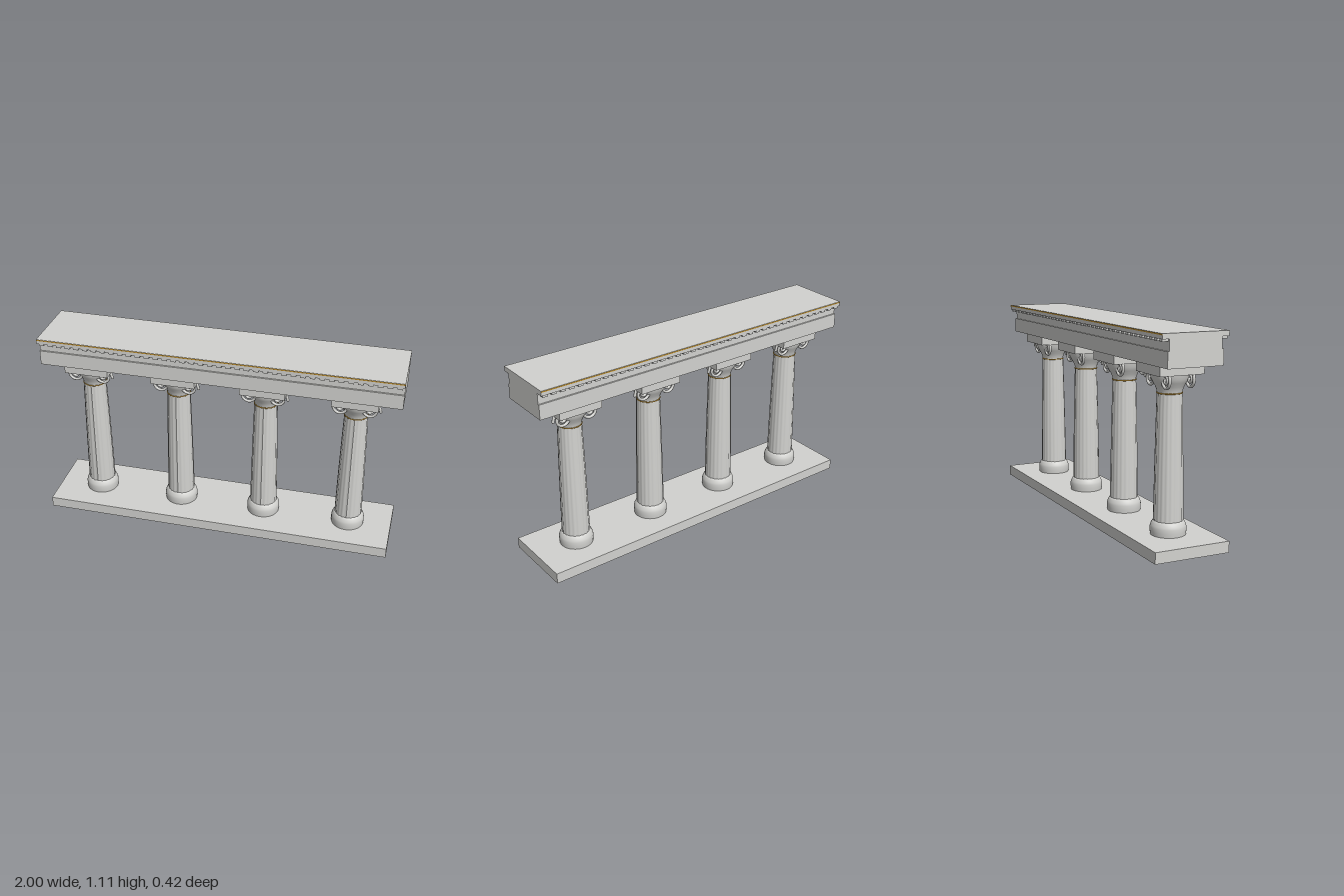
import * as THREE from 'three';

const stone = new THREE.MeshStandardMaterial({ color: 0xd2d2cf });
stone.name = 'pale stone';
const gold = new THREE.MeshStandardMaterial({ color: 0xc0912f });
gold.name = 'gold trim';

function part(name, geometry, material, x = 0, y = 0, z = 0) {
  const mesh = new THREE.Mesh(geometry, material);
  mesh.name = name;
  mesh.position.set(x, y, z);
  return mesh;
}

// Full-length slab between two heights
function slab(name, y0, y1, halfDepth) {
  return part(name, new THREE.BoxGeometry(2, y1 - y0, halfDepth * 2), stone, 0, (y0 + y1) / 2, 0);
}

function lathe(points, segments = 40) {
  return new THREE.LatheGeometry(points.map(([r, y]) => new THREE.Vector2(r, y)), segments);
}

// Tapered shaft with scalloped flutes pressed into a cylinder
function shaftGeometry() {
  const y0 = 0.1, y1 = 0.8, flutes = 20;
  const g = new THREE.CylinderGeometry(1, 1, y1 - y0, flutes * 4, 8, true);
  g.translate(0, (y0 + y1) / 2, 0);
  const p = g.attributes.position;
  for (let i = 0; i < p.count; i++) {
    const t = (p.getY(i) - y0) / (y1 - y0);
    const a = Math.atan2(p.getZ(i), p.getX(i));
    const flute = Math.abs(Math.sin(a * flutes / 2));
    const r = (0.078 - 0.013 * Math.pow(t, 1.4)) * (1 - 0.035 * flute);
    p.setXYZ(i, r * Math.cos(a), p.getY(i), r * Math.sin(a));
  }
  g.computeVertexNormals();
  return g;
}

// Scroll that winds inward over two turns
function voluteGeometry() {
  const points = [];
  for (let i = 0; i <= 32; i++) {
    const t = i / 32, a = t * Math.PI * 4, r = 0.053 * (1 - t * 0.85);
    points.push(new THREE.Vector3(r * Math.cos(a), r * Math.sin(a), 0));
  }
  return new THREE.TubeGeometry(new THREE.CatmullRomCurve3(points), 64, 0.008, 8);
}

export function createModel() {
  const model = new THREE.Group();
  model.name = 'colonnade';

  // Floor and entablature
  model.add(
    slab('stylobate', 0, 0.06, 0.21),
    slab('architrave', 0.945, 1.028, 0.154),
    slab('frieze', 1.028, 1.087, 0.145),
    slab('cornice', 1.087, 1.114, 0.184)
  );

  // Gold lines and dentil rows on both long faces
  const dentil = new THREE.BoxGeometry(0.028, 0.013, 0.035);
  const line = new THREE.BoxGeometry(2, 0.006, 0.003);
  for (const side of [1, -1]) {
    model.add(part('corniceGoldLine', line, gold, 0, 1.109, side * 0.184));
    for (let i = 0; i < 40; i++) {
      model.add(part('dentil', dentil, stone, -0.975 + i * 0.05, 1.0808, side * 0.161));
    }
  }

  // Shared column geometry
  const base = lathe([[0.092, 0.06], [0.094, 0.08], [0.094, 0.1], [0.091, 0.112],
    [0.085, 0.124], [0.079, 0.133], [0.07, 0.136]]);
  const shaft = shaftGeometry();
  const ring = new THREE.TorusGeometry(0.0645, 0.003, 8, 40).rotateX(Math.PI / 2);
  const bell = lathe([[0.063, 0.788], [0.066, 0.805], [0.074, 0.825], [0.086, 0.845],
    [0.096, 0.865], [0.1, 0.89]]);
  const abacus = new THREE.BoxGeometry(0.25, 0.055, 0.25);
  const volute = voluteGeometry();
  const tip = new THREE.SphereGeometry(0.008, 8, 6);

  for (const x of [-0.75, -0.25, 0.25, 0.75]) {
    const column = new THREE.Group();
    column.name = 'column';
    column.position.x = x;
    column.add(
      part('columnBase', base, stone),
      part('flutedShaft', shaft, stone),
      part('neckRing', ring, gold, 0, 0.79, 0),
      part('capitalBell', bell, stone),
      part('abacus', abacus, stone, 0, 0.9175, 0)
    );
    // Four scrolls below the abacus
    for (const vx of [-0.08, 0.08]) {
      for (const vz of [-0.068, 0.068]) {
        column.add(part('volute', volute, stone, vx, 0.862, vz));
        column.add(part('voluteEye', tip, stone, vx + 0.008, 0.862, vz));
        column.add(part('voluteTip', tip, stone, vx + 0.053, 0.862, vz));
      }
    }
    model.add(column);
  }
  return model;
}
